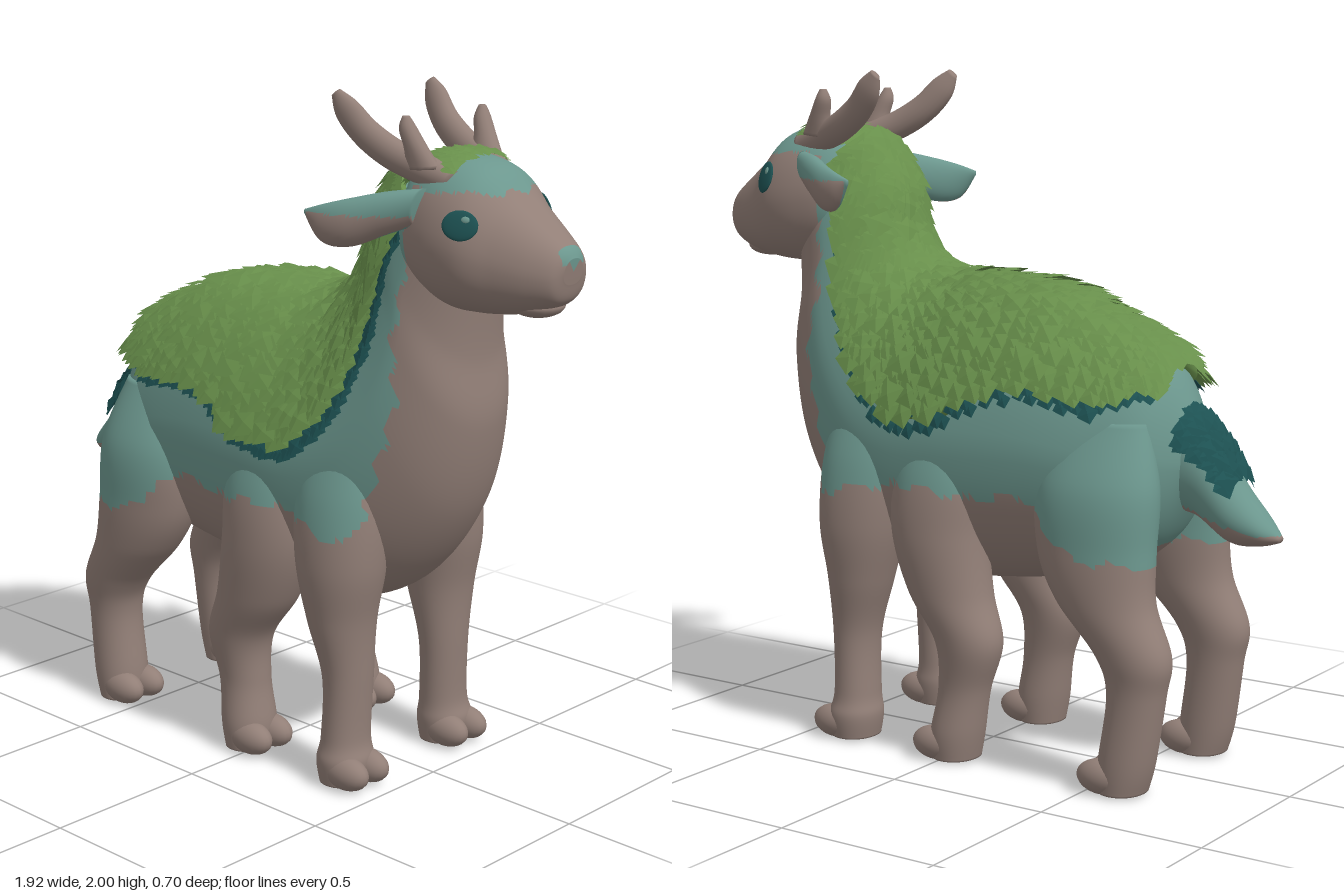
import * as THREE from 'three';

const V = (x, y, z) => new THREE.Vector3(x, y, z);
const mat = (name, hex) => {
  const m = new THREE.MeshStandardMaterial({ color: hex, side: THREE.DoubleSide });
  m.name = name;
  return m;
};

// Piecewise linear lookup in [[key, value], ...]
function lerpTable(table, k) {
  if (k <= table[0][0]) return table[0][1];
  for (let i = 1; i < table.length; i++) {
    const [a, va] = table[i - 1], [b, vb] = table[i];
    if (k <= b) return va + (vb - va) * (k - a) / (b - a);
  }
  return table[table.length - 1][1];
}

// Stations are [lowX, lowY, topX, topY, halfWidth, centreZ]; returns a surface function (u, angle) => point.
// taper narrows the upper half of each section.
function surface(stations, power = 1, taper = 0) {
  const n = stations.length - 1;
  const soft = v => Math.sign(v) * Math.abs(v) ** power;
  return (u, a) => {
    const t = Math.min(Math.max(u, 0), 1) * n, i = Math.min(Math.floor(t), n - 1), f = t - i;
    const at = k => stations[Math.min(Math.max(k, 0), n)];
    const s = at(i).map((p1, k) => {
      const p0 = at(i - 1)[k], p2 = at(i + 1)[k], p3 = at(i + 2)[k];
      return p1 + 0.5 * f * (p2 - p0 + f * (2 * p0 - 5 * p1 + 4 * p2 - p3 + f * (3 * (p1 - p2) + p3 - p0)));
    });
    const [bx, by, tx, ty, w, z = 0] = s, c = soft(Math.cos(a));
    const d = soft(Math.sin(a)) * (1 - taper * Math.max(0, c));
    return V((bx + tx) / 2 + (tx - bx) / 2 * c, (by + ty) / 2 + (ty - by) / 2 * c, z + w * d);
  };
}

// Outward normal of a surface function
function normalAt(f, u, a) {
  const e = 0.01, du = f(u + e, a).sub(f(u - e, a)), da = f(u, a + e).sub(f(u, a - e));
  const n = du.cross(da).normalize();
  const out = f(u, a).sub(f(u, a + Math.PI));
  return n.dot(out) < 0 ? n.negate() : n;
}

// Closed skin over a surface function; pick(point) chooses the material of each face
function skin(name, f, rows, cols, mats, pick) {
  const pos = [], index = mats.map(() => []), pts = [];
  const push = p => { pts.push(p); pos.push(p.x, p.y, p.z); };
  for (let i = 0; i <= rows; i++)
    for (let j = 0; j < cols; j++) push(f(i / rows, j / cols * 2 * Math.PI));
  const tris = [];
  const id = (i, j) => i * cols + j % cols;
  for (let i = 0; i < rows; i++)
    for (let j = 0; j < cols; j++) {
      const a = id(i, j), b = id(i, j + 1), c = id(i + 1, j + 1), d = id(i + 1, j);
      tris.push([a, b, c], [a, c, d]);
    }
  for (const [i, end] of [[0, 0], [rows, 1]]) {
    const c = pts.length;
    push(f(end, 0).add(f(end, Math.PI)).multiplyScalar(0.5));
    for (let j = 0; j < cols; j++)
      tris.push(end ? [c, id(i, j), id(i, j + 1)] : [c, id(i, j + 1), id(i, j)]);
  }
  let volume = 0;
  for (const [a, b, c] of tris) volume += pts[a].dot(pts[b].clone().cross(pts[c]));
  for (const [a, b, c] of tris) {
    const mid = pts[a].clone().add(pts[b]).add(pts[c]).divideScalar(3);
    index[pick ? pick(mid) : 0].push(...(volume < 0 ? [a, c, b] : [a, b, c]));
  }
  const g = new THREE.BufferGeometry();
  g.setAttribute('position', new THREE.Float32BufferAttribute(pos, 3));
  g.setIndex(index.flat());
  let start = 0;
  index.forEach((list, k) => { g.addGroup(start, list.length, k); start += list.length; });
  g.computeVertexNormals();
  const mesh = new THREE.Mesh(g, mats);
  mesh.name = name;
  return mesh;
}

let seed = 7;
const rnd = () => (seed = (seed * 16807) % 2147483647) / 2147483647;

// Broad leaf scales scattered over a surface; limit(u) is the angle reached on each side
function leaves(name, f, u0, u1, rows, cols, limit, lift, size, material, rimOnly) {
  const pos = [];
  for (let i = 0; i <= rows; i++)
    for (let j = 0; j <= cols; j++) {
      if (rimOnly && j > 0 && j < cols) continue;
      const u = u0 + (u1 - u0) * (i + rnd() * 0.5) / rows;
      const k = Math.min(Math.max(((j + (i % 2) * 0.5 + rnd() * 0.3) / cols) * 2 - 1, -1), 1);
      const a = k * limit(u), n = normalAt(f, u, a), p = f(u, a).addScaledVector(n, lift * (0.7 + 0.6 * rnd()));
      const back = f(u - 0.02, a).sub(f(u + 0.02, a)).normalize();
      const down = f(u, a + 0.05 * Math.sign(k)).sub(f(u, a)).normalize();
      const dir = back.multiplyScalar(1 - 0.5 * Math.abs(k)).addScaledVector(down, 0.3 + 0.6 * Math.abs(k)).normalize();
      const side = n.clone().cross(dir).normalize(), s = size * (0.75 + rnd() * 0.5);
      const at = (d, w, h) => p.clone().addScaledVector(dir, d * s).addScaledVector(side, w * s).addScaledVector(n, h * s);
      const root = at(-0.5, 0, -0.05), l = at(0.2, -0.6, 0.06), r = at(0.2, 0.6, 0.06), mid = at(0.2, 0, 0.17), tip = at(0.8, 0, 0.24);
      for (const q of [root, mid, l, root, r, mid, l, mid, tip, mid, r, tip]) pos.push(q.x, q.y, q.z);
    }
  const g = new THREE.BufferGeometry();
  g.setAttribute('position', new THREE.Float32BufferAttribute(pos, 3));
  g.computeVertexNormals();
  const mesh = new THREE.Mesh(g, material);
  mesh.name = name;
  return mesh;
}

export function createModel() {
  const model = new THREE.Group();
  const brown = mat('brown hide', 0x927f77), teal = mat('teal hide', 0x6c978e);
  const green = mat('leaf green', 0x688f4b), dark = mat('dark teal', 0x1d5152);
  const hide = [brown, teal];
  const add = (...m) => model.add(...m);

  // Teal saddle marking over the back, hips and neck
  const lowEdge = [[-0.7, 0.66], [-0.5, 0.67], [-0.4, 0.72], [-0.28, 0.82], [-0.1, 0.79], [0.05, 0.82], [0.2, 0.8], [0.3, 0.79], [0.42, 0.75]];
  const frontEdge = [[0.75, 0.42], [0.88, 0.45], [1.05, 0.5], [1.2, 0.53], [1.32, 0.5], [1.6, 0.52]];
  const saddle = p => +(p.y > lerpTable(lowEdge, p.x) + 0.01 * Math.sin(p.x * 50)
    && p.x < lerpTable(frontEdge, p.y) + 0.012 * Math.sin(p.y * 55));

  // Trunk and neck
  const trunk = surface([
    [-0.68, 0.80, -0.70, 1.03, 0.09], [-0.60, 0.68, -0.61, 1.19, 0.20], [-0.45, 0.58, -0.47, 1.275, 0.255],
    [-0.25, 0.54, -0.25, 1.36, 0.285], [0, 0.51, -0.02, 1.385, 0.30], [0.25, 0.50, 0.12, 1.385, 0.295],
    [0.45, 0.60, 0.23, 1.42, 0.275], [0.61, 0.82, 0.30, 1.50, 0.24], [0.675, 1.08, 0.33, 1.59, 0.205],
    [0.662, 1.28, 0.35, 1.68, 0.18], [0.67, 1.43, 0.42, 1.79, 0.155]], 0.92, 0.2);
  add(skin('trunkAndNeck', trunk, 120, 88, hide, saddle));

  // Tail, teal above and brown below
  const tail = surface([
    [-0.60, 0.78, -0.60, 1.10, 0.10], [-0.70, 0.77, -0.73, 1.02, 0.09], [-0.81, 0.705, -0.835, 0.875, 0.08],
    [-0.90, 0.705, -0.91, 0.79, 0.055], [-0.955, 0.72, -0.96, 0.735, 0.012]]);
  add(skin('tail', tail, 30, 28, hide, p => +(p.y > 0.74 + Math.max(0, p.x + 0.9) * 0.25)));

  // Head
  const head = surface([
    [0.44, 1.55, 0.44, 1.72, 0.08], [0.50, 1.47, 0.48, 1.81, 0.165], [0.60, 1.425, 0.58, 1.84, 0.20],
    [0.70, 1.42, 0.70, 1.815, 0.198], [0.80, 1.43, 0.79, 1.74, 0.155], [0.88, 1.45, 0.88, 1.675, 0.115],
    [0.935, 1.48, 0.94, 1.63, 0.078], [0.952, 1.53, 0.96, 1.60, 0.04]], 0.82, 0.15);
  add(skin('head', head, 80, 72, hide, p => +((p.y > 1.755 + 0.008 * Math.sin(p.z * 60) && p.x < 0.785)
    || (p.x < 0.52 && p.y > 1.46) || (p.x > 0.938 && p.y > 1.585 && Math.abs(p.z) < 0.045))));
  const ball = (name, x, y, z, sx, sy, sz, m = brown) => {
    const b = new THREE.Mesh(new THREE.SphereGeometry(1, 20, 14), m);
    b.position.set(x, y, z);
    b.scale.set(sx, sy, sz);
    b.name = name;
    add(b);
    return b;
  };
  ball('lowerJaw', 0.84, 1.46, 0, 0.075, 0.034, 0.075);

  // Leaf coat: padded base, overlapping scales and a dark fringe
  const reach = [[0.1, 0.75], [0.2, 1.12], [0.3, 1.18], [0.35, 1.27], [0.4, 1.44], [0.5, 1.44], [0.6, 1.32], [0.7, 1.18], [0.8, 1.1], [0.9, 1.15], [1, 1.2]];
  const limit = u => lerpTable(reach, u);
  const coat = (u, a) => {
    const v = 0.1 + u * 0.9;
    const k = a > Math.PI ? a - 2 * Math.PI : a;
    const top = Math.abs(k) < Math.PI / 2;
    const b = (top ? k : Math.sign(k) * (Math.PI - Math.abs(k))) / (Math.PI / 2) * limit(v);
    return trunk(v, b).addScaledVector(normalAt(trunk, v, b), top ? 0.032 * Math.cos(k) ** 0.3 : 0);
  };
  add(skin('leafCoatBase', coat, 60, 48, [green]));
  add(leaves('leafCoat', trunk, 0.1, 1, 46, 25, u => limit(u) * 0.97, 0.029, 0.075, green));
  add(leaves('leafFringe', trunk, 0.1, 0.98, 90, 20, u => limit(u) + 0.06, 0.006, 0.045, dark, true));
  add(leaves('tailLeaves', tail, 0.02, 0.45, 14, 10, u => 1.25 - u, 0.012, 0.055, dark));
  add(leaves('crownLeaves', head, 0.06, 0.34, 11, 11, () => 0.58, 0.006, 0.045, green));

  // Legs: [back x, front x, y, centre z, half width]
  const legs = {
    frontLeg: [[0.20, 0.42, 1.04, 0.19, 0.05], [0.17, 0.46, 0.86, 0.195, 0.115], [0.19, 0.46, 0.67, 0.212, 0.122],
      [0.235, 0.43, 0.5, 0.215, 0.102], [0.285, 0.42, 0.33, 0.21, 0.08], [0.285, 0.415, 0.15, 0.215, 0.078], [0.275, 0.43, 0.08, 0.22, 0.088], [0.285, 0.42, 0.012, 0.22, 0.08]],
    middleLeg: [[-0.06, 0.14, 1.02, 0.20, 0.05], [-0.11, 0.19, 0.84, 0.203, 0.113], [-0.11, 0.19, 0.67, 0.215, 0.122],
      [-0.13, 0.13, 0.5, 0.22, 0.11], [-0.17, 0.035, 0.36, 0.225, 0.09], [-0.13, 0.025, 0.22, 0.225, 0.075], [-0.11, 0.045, 0.09, 0.23, 0.085], [-0.095, 0.04, 0.012, 0.23, 0.08]],
    hindLeg: [[-0.62, -0.38, 1.04, 0.15, 0.06], [-0.67, -0.30, 0.86, 0.19, 0.118], [-0.67, -0.31, 0.68, 0.208, 0.12],
      [-0.68, -0.38, 0.54, 0.22, 0.108], [-0.735, -0.51, 0.40, 0.225, 0.09], [-0.72, -0.55, 0.29, 0.225, 0.078], [-0.69, -0.53, 0.10, 0.23, 0.083], [-0.665, -0.53, 0.012, 0.23, 0.08]],
  };
  for (const s of [1, -1]) {
    const sideName = s > 0 ? 'Left' : 'Right';
    for (const [name, rings] of Object.entries(legs)) {
      const f = surface(rings.map(([x0, x1, y, z, w]) => [x1, y, x0, y, w, s * z]), 0.95);
      add(skin(name + sideName, f, 64, 36, hide, saddle));
      // Cloven toes
      const [, x1, , z] = rings[7];
      for (const t of [-1, 1]) ball('toe', x1 - 0.025, 0.054, s * z + t * 0.043, 0.08, 0.05, 0.047);
    }

    // Ears, teal on the upper and rear side
    const ear = surface([
      [0.56, 1.66, 0.58, 1.76, 0.04, s * 0.165], [0.49, 1.63, 0.50, 1.75, 0.05, s * 0.215], [0.41, 1.595, 0.42, 1.73, 0.045, s * 0.27],
      [0.34, 1.605, 0.35, 1.71, 0.028, s * 0.305], [0.29, 1.675, 0.29, 1.69, 0.006, s * 0.32]]);
    add(skin('ear' + sideName, ear, 32, 32, hide, p => +(p.y > 1.685 || Math.abs(p.z) < 0.215 + (0.5 - p.x) * 0.55)));

    // Antler beam and prong
    add(skin('antlerBeam' + sideName, surface([[0.63, 1.77, 0.105, 0.036, 0.4], [0.54, 1.80, 0.12, 0.04, 0.4], [0.45, 1.835, 0.145, 0.038, 0.6],
      [0.37, 1.885, 0.165, 0.034, 0.8], [0.315, 1.945, 0.183, 0.027, 1.1], [0.283, 1.99, 0.193, 0.011, 1.2]].map(([x, y, z, r, lean]) =>
      [x - r * lean, y - r, x + r * lean, y + r, r, s * z])), 30, 18, [brown]));
    const prong = surface([[0.60, 1.81, 0.49, 1.80, 0.036, s * 0.13], [0.56, 1.87, 0.495, 1.86, 0.03, s * 0.145],
      [0.53, 1.92, 0.485, 1.91, 0.024, s * 0.155], [0.515, 1.945, 0.495, 1.945, 0.01, s * 0.158]]);
    add(skin('antlerProng' + sideName, prong, 14, 14, [brown]));

    // Almond eye set flush on the cheek, with a pale glint in its upper corner
    const ea = s * 1.3, n = normalAt(head, 0.45, ea), p = head(0.45, ea);
    const turn = new THREE.Quaternion().setFromUnitVectors(V(0, 0, 1), n);
    ball('eye' + sideName, p.x, p.y, p.z, 0.05, 0.041, 0.009, dark).quaternion.copy(turn);
    const g = V(s * 0.014, 0.016, 0.007).applyQuaternion(turn).add(p);
    ball('eyeGlint' + sideName, g.x, g.y, g.z, 0.012, 0.009, 0.004, teal).quaternion.copy(turn);

    // Rounded upper lip
    ball('upperLip' + sideName, 0.89, 1.515, s * 0.04, 0.055, 0.035, 0.05);
  }
  return model;
}
